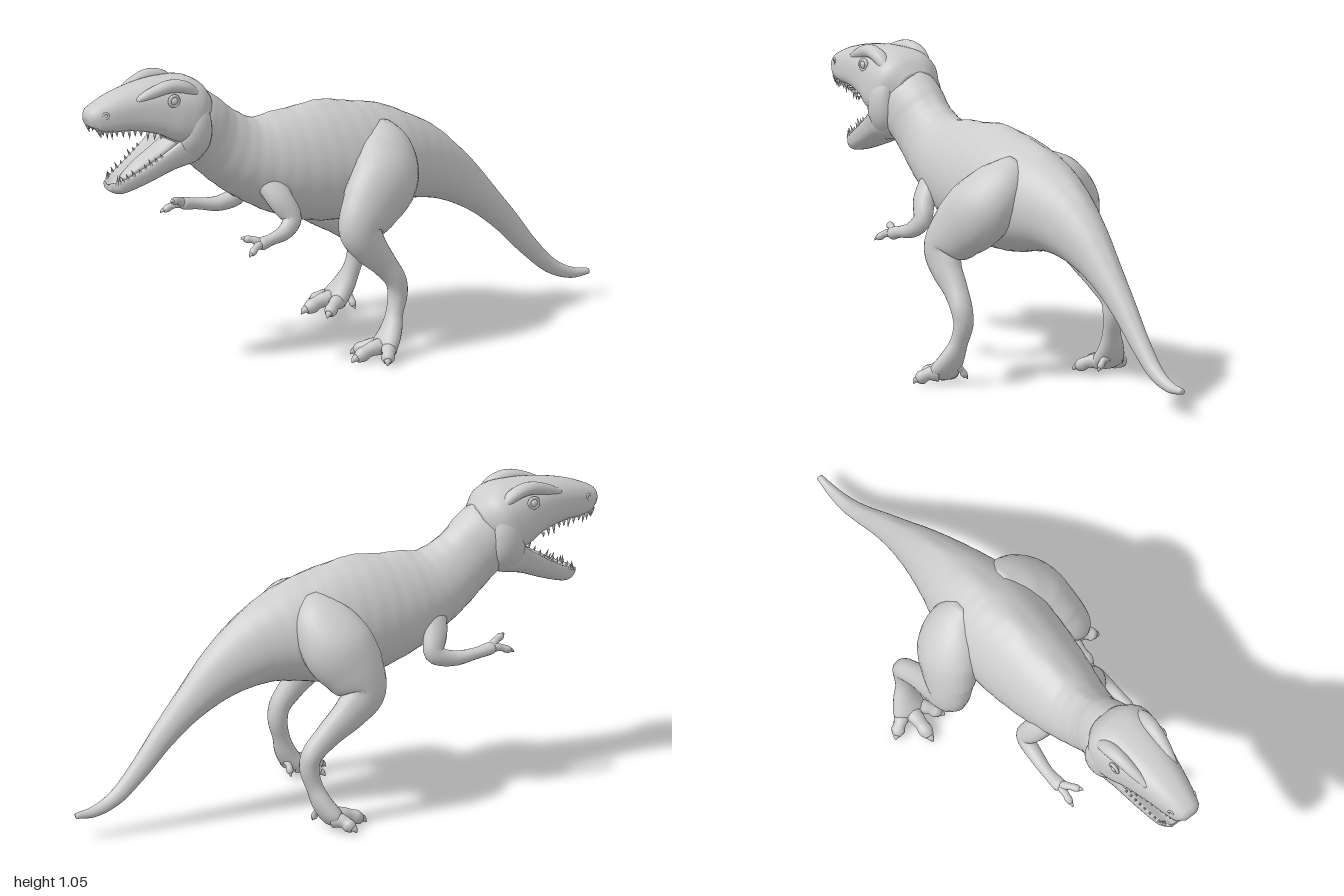
import * as THREE from 'three';
import { mergeGeometries } from 'three/addons/utils/BufferGeometryUtils.js';

const grey = new THREE.MeshStandardMaterial({ color: 0xcccccc, side: THREE.DoubleSide });
const Z = new THREE.Vector3(0, 0, 1);
const round = (c, s) => [c, s];

// Rows are [x, y, z, radius in the side plane, radius across]; returns a sampler of frames along them.
function spine(rows) {
  const path = new THREE.CatmullRomCurve3(rows.map(r => new THREE.Vector3(r[0], r[1], r[2])));
  const size = new THREE.CatmullRomCurve3(rows.map(r => new THREE.Vector3(r[3], r[4], 0)), false, 'catmullrom', 0.5);
  return t => {
    const p = path.getPoint(t), d = path.getTangent(t), q = size.getPoint(t);
    const w = Z.clone().addScaledVector(d, -Z.dot(d)).normalize();
    const v = w.clone().cross(d);
    const at = (a, b) => p.clone().addScaledVector(v, a * q.x).addScaledVector(w, b * q.y);
    return { at, p, v };
  };
}

// Smooth closed skin through the rows; shape(cos, sin, t) bends the round section.
function loftGeometry(rows, shape = round, sides = 24, steps = 5) {
  const frame = spine(rows), n = (rows.length - 1) * steps, pos = [], idx = [];
  for (let i = 0; i <= n; i++) {
    const f = frame(i / n);
    for (let j = 0; j < sides; j++) {
      const a = j / sides * Math.PI * 2;
      const [c, s] = shape(Math.cos(a), Math.sin(a), i / n);
      pos.push(...f.at(c, s).toArray());
    }
  }
  for (let i = 0; i < n; i++) for (let j = 0; j < sides; j++) {
    const a = i * sides + j, b = i * sides + (j + 1) % sides;
    idx.push(a, b, a + sides, b, b + sides, a + sides);
  }
  const start = pos.length / 3, last = n * sides;
  pos.push(...frame(0).p.toArray(), ...frame(1).p.toArray());
  for (let j = 0; j < sides; j++) {
    const k = (j + 1) % sides;
    idx.push(start, k, j, start + 1, last + j, last + k);
  }
  const g = new THREE.BufferGeometry();
  g.setAttribute('position', new THREE.Float32BufferAttribute(pos, 3));
  g.setIndex(idx);
  g.computeVertexNormals();
  return g;
}

function mesh(name, geometry) {
  const m = new THREE.Mesh(geometry, grey);
  m.name = name;
  return m;
}
const loft = (name, ...args) => mesh(name, loftGeometry(...args));

// Toe or finger: a knuckled digit with a curved claw
function digit(name, from, tip, r, lift) {
  const a = new THREE.Vector3(...from), b = new THREE.Vector3(...tip);
  const at = (t, up, k) => { const p = a.clone().lerp(b, t); return [p.x, p.y + up, p.z, r * k, r * k]; };
  const g = new THREE.Group();
  g.name = name;
  g.add(loft('digit', [at(0, 0, 1.2), at(0.3, lift, 1), at(0.5, lift, 0.85), at(0.68, lift * 0.5, 0.95), at(0.84, 0, 0.65)], round, 12, 4));
  g.add(loft('claw', [at(0.74, lift * 0.3, 0.6), at(0.9, lift * 0.2, 0.45), at(1, -r * 0.3, 0.06)], round, 8, 4));
  return g;
}

// Row of cone teeth on both sides of a jaw; dir -1 hangs down, +1 stands up
function teeth(name, rows, dir, t0, t1, count, edge) {
  const frame = spine(rows), list = [];
  for (const s of [-1, 1]) for (let i = 0; i < count; i++) {
    const f = frame(t0 + (t1 - t0) * i / (count - 1));
    const h = 0.026 + 0.01 * Math.sin(i * 1.9 + 1);
    const g = new THREE.ConeGeometry(0.0065, h, 7);
    g.applyQuaternion(new THREE.Quaternion().setFromUnitVectors(new THREE.Vector3(0, 1, 0), f.v.clone().multiplyScalar(dir)));
    const p = f.at(edge[0] * dir, edge[1] * s).addScaledVector(f.v, dir * h * 0.3);
    list.push(g.translate(p.x, p.y, p.z));
  }
  return mesh(name, mergeGeometries(list));
}

// Leg on side s (+1 left of the spine, -1 other side), stepped back by stride
function leg(s, stride) {
  const g = new THREE.Group();
  g.name = s > 0 ? 'forwardLeg' : 'rearwardLeg';
  const place = ([x, y, z, ...r]) => [x + stride * THREE.MathUtils.clamp((0.62 - y) / 0.35, 0, 1), y, z * s, ...r];
  g.add(loft('thighAndShank', [
    [0.125, 0.755, 0.06, 0.05, 0.045], [0.115, 0.695, 0.125, 0.105, 0.078], [0.078, 0.61, 0.182, 0.128, 0.099],
    [0, 0.53, 0.22, 0.112, 0.083], [-0.055, 0.46, 0.245, 0.08, 0.064], [-0.028, 0.4, 0.255, 0.064, 0.05],
    [0.03, 0.33, 0.257, 0.046, 0.041], [0.075, 0.265, 0.263, 0.037, 0.038], [0.083, 0.215, 0.262, 0.034, 0.035],
    [0.066, 0.15, 0.269, 0.029, 0.033], [0.043, 0.092, 0.282, 0.034, 0.048], [0.01, 0.045, 0.292, 0.034, 0.06],
    [-0.012, 0.028, 0.294, 0.015, 0.034]].map(place)));
  const toes = [['innerToe', [0.01, 0.042, 0.262], [-0.07, 0.014, 0.203], 0.024],
    ['middleToe', [0.01, 0.047, 0.292], [-0.12, 0.014, 0.295], 0.027],
    ['outerToe', [0.015, 0.042, 0.318], [-0.033, 0.014, 0.39], 0.025],
    ['backToe', [0.045, 0.06, 0.265], [0.052, 0.02, 0.222], 0.013]];
  for (const [n, a, b, r] of toes) g.add(digit(n, place(a), place(b), r, 0.008));
  return g;
}

// Small two-fingered arm
function arm(name, rows, tips) {
  const g = new THREE.Group();
  g.name = name;
  g.add(loft('armAndPalm', rows, round, 16));
  const hand = rows[rows.length - 2].slice(0, 3);
  tips.forEach((tip, i) => g.add(digit('finger' + (i + 1), hand, tip, 0.014, 0.006)));
  return g;
}

export function createModel() {
  const model = new THREE.Group();
  model.name = 'dinosaur';

  // Neck, trunk and tail, with a low ridge and fine skin folds
  const trunk = [
    [-0.66, 0.92, 0, 0.09, 0.095], [-0.58, 0.865, 0, 0.117, 0.11], [-0.49, 0.785, 0, 0.119, 0.103],
    [-0.38, 0.714, 0, 0.138, 0.122], [-0.25, 0.675, 0, 0.178, 0.151], [-0.1, 0.652, 0, 0.206, 0.172],
    [0.05, 0.637, 0, 0.2, 0.178], [0.18, 0.625, 0, 0.173, 0.158], [0.3, 0.595, 0, 0.137, 0.122],
    [0.43, 0.53, 0, 0.098, 0.087], [0.555, 0.433, 0, 0.063, 0.06], [0.66, 0.33, 0, 0.045, 0.044],
    [0.76, 0.215, 0, 0.034, 0.034], [0.85, 0.13, 0, 0.026, 0.027], [0.93, 0.094, 0, 0.019, 0.019], [0.998, 0.089, 0, 0.01, 0.011]];
  model.add(loft('neckTrunkAndTail', trunk, (c, s, t) => {
    const fold = 1 + 0.006 * Math.sin(t * 210 + c * 2) * (1 - t);
    const ridge = c > 0.97 ? 0.02 + 0.015 * Math.sin(t * 60) : 0;
    return [(c + ridge) * fold, s * (1 - 0.12 * c) * fold];
  }, 48, 12));

  // Blunt skull with boxy sides, and a hollowed lower jaw with a deep throat
  const skull = [
    [-1, 0.925, 0, 0.018, 0.026], [-0.982, 0.932, 0, 0.043, 0.048], [-0.925, 0.941, 0, 0.062, 0.065],
    [-0.84, 0.95, 0, 0.078, 0.084], [-0.74, 0.944, 0, 0.099, 0.108], [-0.66, 0.925, 0, 0.118, 0.126],
    [-0.6, 0.912, 0, 0.109, 0.124], [-0.55, 0.9, 0, 0.072, 0.08]];
  const box = x => Math.sign(x) * Math.abs(x) ** 0.75;
  model.add(loft('skull', skull, (c, s) => [box(c) * (c < 0 && Math.abs(s) < 0.5 ? 0.85 : 1), box(s) * (1 - 0.13 * c)], 36, 7));
  const jaw = [
    [-0.918, 0.69, 0, 0.018, 0.025], [-0.885, 0.69, 0, 0.036, 0.05], [-0.8, 0.726, 0, 0.048, 0.075],
    [-0.72, 0.769, 0, 0.06, 0.095], [-0.64, 0.81, 0, 0.082, 0.114], [-0.57, 0.835, 0, 0.07, 0.094]];
  model.add(loft('lowerJaw', jaw, (c, s) => [c > 0 ? c * (1.3 * s * s) : box(c), box(s)], 36, 7));
  model.add(loft('tongue', [[-0.86, 0.705, 0, 0.008, 0.018], [-0.8, 0.74, 0, 0.016, 0.036],
    [-0.72, 0.782, 0, 0.02, 0.045], [-0.64, 0.83, 0, 0.025, 0.05]], round, 16));
  model.add(teeth('upperTeeth', skull, -1, 0.1, 0.56, 13, [0.85, 0.87]));
  model.add(teeth('lowerTeeth', jaw, 1, 0.12, 0.56, 10, [0.45, 0.88]));

  for (const s of [-1, 1]) {
    // Brow, eye, nostril rim and jaw muscle
    model.add(loft('brow', [[-0.84, 0.99, 0.06 * s, 0.012, 0.012], [-0.78, 1.014, 0.07 * s, 0.02, 0.02],
      [-0.71, 1.03, 0.078 * s, 0.023, 0.025], [-0.65, 1.015, 0.082 * s, 0.022, 0.026], [-0.6, 0.97, 0.078 * s, 0.018, 0.02]], round, 16));
    const eye = mesh('eye', new THREE.SphereGeometry(0.016, 16, 12));
    eye.position.set(-0.715, 0.985, 0.101 * s);
    const lid = mesh('eyelid', new THREE.TorusGeometry(0.018, 0.006, 8, 20));
    lid.position.set(-0.715, 0.985, 0.106 * s);
    const nostril = mesh('nostrilRim', new THREE.TorusGeometry(0.009, 0.004, 8, 14));
    nostril.position.set(-0.955, 0.955, 0.053 * s);
    nostril.rotation.y = -0.4 * s;
    model.add(eye, lid, nostril);
    model.add(loft('jawMuscle', [[-0.605, 0.95, 0.088 * s, 0.03, 0.025], [-0.615, 0.89, 0.099 * s, 0.05, 0.037],
      [-0.628, 0.82, 0.095 * s, 0.058, 0.036], [-0.65, 0.76, 0.068 * s, 0.034, 0.022]], round, 20));
  }

  model.add(leg(1, 0), leg(-1, 0.15));

  model.add(arm('loweredArm', [
    [-0.335, 0.65, 0.085, 0.052, 0.036], [-0.312, 0.58, 0.14, 0.046, 0.036], [-0.284, 0.515, 0.17, 0.036, 0.03],
    [-0.32, 0.478, 0.185, 0.028, 0.026], [-0.38, 0.462, 0.195, 0.02, 0.02], [-0.42, 0.452, 0.195, 0.022, 0.024],
    [-0.435, 0.449, 0.195, 0.01, 0.012]], [[-0.485, 0.425, 0.225], [-0.485, 0.475, 0.165]]));
  model.add(arm('raisedArm', [
    [-0.335, 0.65, -0.085, 0.052, 0.036], [-0.318, 0.58, -0.135, 0.044, 0.034], [-0.302, 0.522, -0.16, 0.035, 0.03],
    [-0.37, 0.497, -0.17, 0.027, 0.026], [-0.45, 0.505, -0.18, 0.02, 0.021], [-0.51, 0.515, -0.18, 0.021, 0.024],
    [-0.525, 0.516, -0.178, 0.01, 0.012]], [[-0.585, 0.545, -0.135], [-0.595, 0.495, -0.19]]));

  return model;
}
